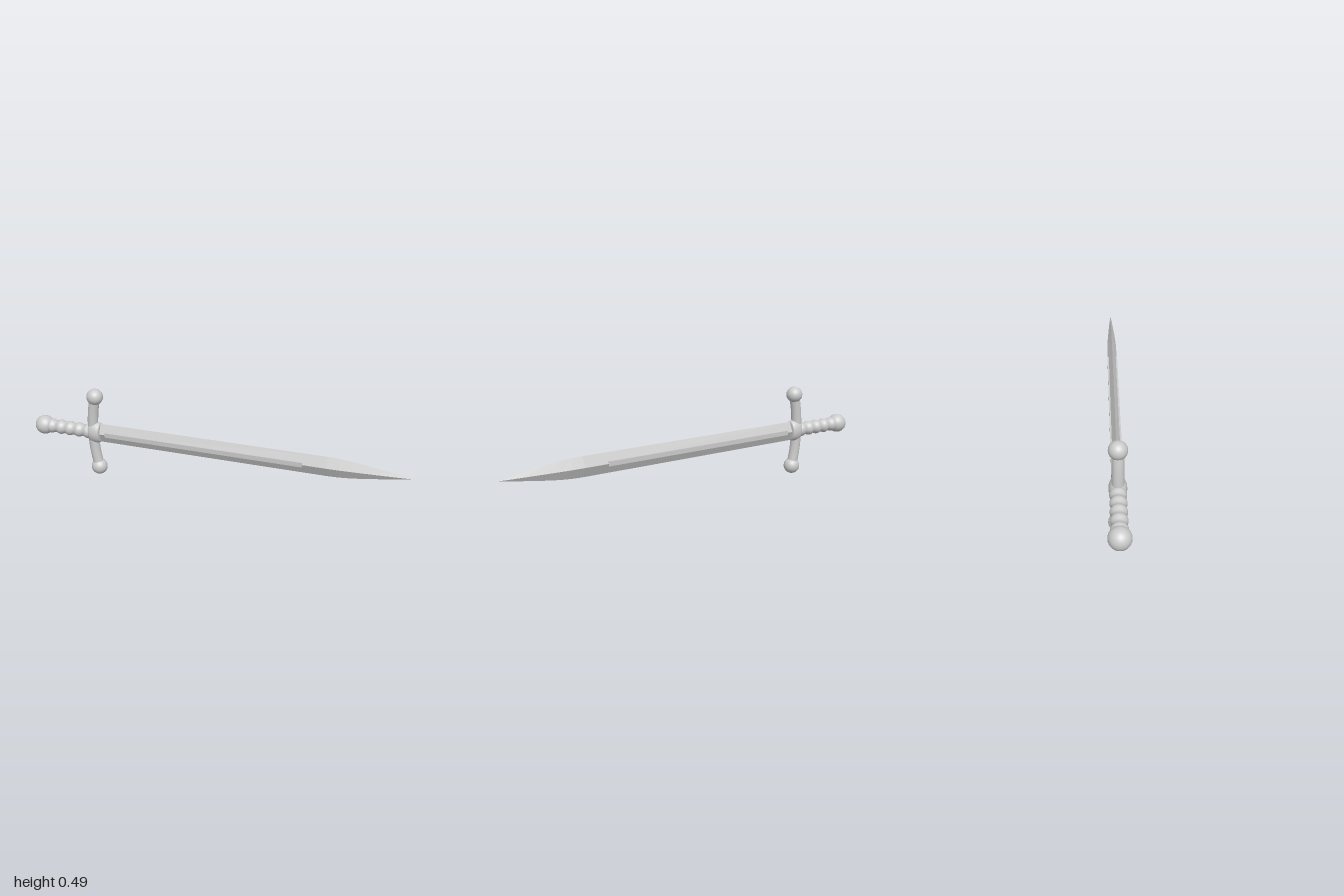
import * as THREE from 'three';

const CY = 0.245; // height of the sword's long axis
const material = new THREE.MeshStandardMaterial({ color: 0xcccccc });
const flatMaterial = new THREE.MeshStandardMaterial({ color: 0xcccccc, flatShading: true });

function add(parent, name, geometry, x, y, z = 0, mat = material) {
  const mesh = new THREE.Mesh(geometry, mat);
  mesh.name = name;
  mesh.position.set(x, y, z);
  parent.add(mesh);
  return mesh;
}

// Diamond cross-sections [x, half height, half thickness] joined along x
function bladeGeometry(sections) {
  const corners = sections.map(([x, h, t]) => [[x, h, 0], [x, 0, t], [x, -h, 0], [x, 0, -t]]);
  const pos = [];
  const tri = (a, b, c) => pos.push(...a, ...b, ...c);
  for (let i = 0; i < corners.length - 1; i++) {
    const a = corners[i], b = corners[i + 1];
    for (let k = 0; k < 4; k++) {
      const n = (k + 1) % 4;
      tri(a[k], a[n], b[k]);
      tri(a[n], b[n], b[k]);
    }
  }
  const s = corners[0];
  tri(s[0], s[3], s[2]);
  tri(s[0], s[2], s[1]);
  const g = new THREE.BufferGeometry();
  g.setAttribute('position', new THREE.Float32BufferAttribute(pos, 3));
  g.computeVertexNormals();
  return g;
}

// Rounded profile spun around the x axis
function spun(points, segments = 32) {
  const g = new THREE.LatheGeometry(points.map(([r, x]) => new THREE.Vector2(r, x)), segments);
  return g.rotateZ(-Math.PI / 2);
}

export function createModel() {
  const sword = new THREE.Group();
  sword.name = 'sword';

  // Blade with a curved taper to the point
  add(sword, 'blade', bladeGeometry([
    [-0.65, 0.052, 0.025], [0.6, 0.052, 0.025], [0.66, 0.05, 0.024], [0.72, 0.045, 0.021],
    [0.8, 0.034, 0.016], [0.9, 0.018, 0.009], [1, 0.0005, 0.0005],
  ]), 0, CY, 0, flatMaterial);

  // Raised rib along the middle of both faces
  add(sword, 'bladeRib', new THREE.BoxGeometry(1.06, 0.024, 0.054), -0.05, CY, 0, flatMaterial);

  // Grip with rolling ridges
  const grip = [];
  for (let i = 0; i <= 60; i++) {
    const t = i / 60;
    grip.push([0.0355 + 0.0035 * Math.cos((t * 5 - 0.5) * Math.PI * 2), -0.93 + t * 0.27]);
  }
  add(sword, 'grip', spun(grip), 0, CY);
  add(sword, 'pommel', new THREE.SphereGeometry(0.051, 32, 20), -0.949, CY);

  // Barrel-shaped collar at the crossing
  const collar = [[0, -0.034], [0.038, -0.034], [0.047, -0.03], [0.055, -0.018], [0.059, 0],
    [0.058, 0.016], [0.054, 0.029], [0.046, 0.034], [0, 0.034]];
  const collarMesh = add(sword, 'collar', spun(collar), -0.646, CY);
  collarMesh.scale.z = 0.7;

  // Curved crossguard arms with ball ends, mirrored up and down
  const path = new THREE.CatmullRomCurve3([
    [-0.635, -0.2], [-0.651, -0.11], [-0.658, 0], [-0.651, 0.11], [-0.635, 0.2],
  ].map(([x, y]) => new THREE.Vector3(x, y, 0)));
  add(sword, 'crossguard', new THREE.TubeGeometry(path, 32, 0.0275, 24), 0, CY);
  for (const side of [1, -1]) {
    add(sword, side > 0 ? 'upperGuardBall' : 'lowerGuardBall',
      new THREE.SphereGeometry(0.043, 32, 20), -0.635, CY + side * 0.202);
  }
  return sword;
}
